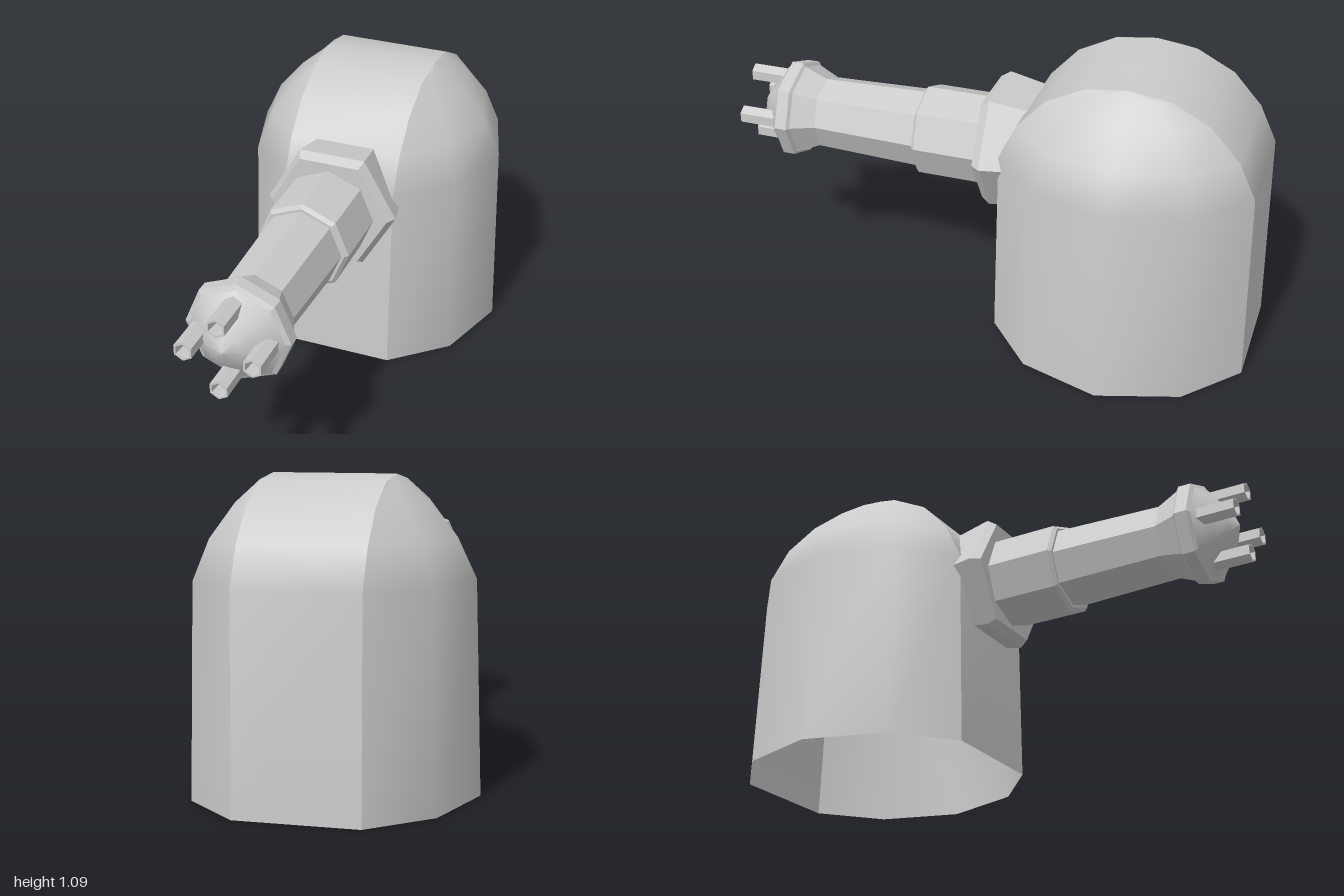
import * as THREE from 'three';

const smooth = new THREE.MeshStandardMaterial({ color: 0xcccccc, side: THREE.DoubleSide });
const flat = new THREE.MeshStandardMaterial({ color: 0xcccccc, side: THREE.DoubleSide, flatShading: true });

const HOUSING_Z = -0.52; // centre of the housing
const HALF_STRIP = 0.215; // half width of the central strip
const BARREL_Y = 0.685; // height of the gun axis

// Housing levels: [height, half depth of strip, sideways bulge]
const LEVELS = [
  [0, 0.477, 0.295],
  [0.74, 0.46, 0.275],
  [0.877, 0.395, 0.21],
  [0.993, 0.29, 0.11],
  [1.065, 0.15, 0.026],
  [1.085, 0, 0],
];

function mesh(name, geometry, material) {
  const m = new THREE.Mesh(geometry, material);
  m.name = name;
  return m;
}

// Smooth surface through rows of points
function loft(rows) {
  const n = rows[0].length;
  const index = [];
  for (let i = 0; i < rows.length - 1; i++) {
    for (let j = 0; j < n - 1; j++) {
      const a = i * n + j, b = a + 1, c = b + n, d = a + n;
      index.push(a, b, c, a, c, d);
    }
  }
  const g = new THREE.BufferGeometry();
  g.setAttribute('position', new THREE.Float32BufferAttribute(rows.flat(2), 3));
  g.setIndex(index);
  g.computeVertexNormals();
  return g;
}

// Faceted body of revolution along z; profile is [radius, z]
function turned(name, profile, sides, start = 0, material = flat) {
  const pts = profile.map(([r, z]) => new THREE.Vector2(r, z));
  const g = new THREE.LatheGeometry(pts, sides, start);
  g.rotateX(Math.PI / 2);
  return mesh(name, g, material);
}

function createHousing() {
  const housing = new THREE.Group();
  housing.name = 'housing';
  housing.position.z = HOUSING_Z;

  // Central strip: up the front, over the top, down the back
  const front = LEVELS.map(([y, r]) => [y, r]);
  const back = front.slice(0, -1).reverse().map(([y, r]) => [y, -r]);
  const strip = [...front, ...back].map(([y, z]) => [[-HALF_STRIP, y, z], [HALF_STRIP, y, z]]);
  housing.add(mesh('centralStrip', loft(strip), smooth));

  // Faceted half-round flanks with rounded shoulders
  const flank = LEVELS.map(([y, r, b]) =>
    [[0, 1], [0.69, 0.62], [1, 0], [0.69, -0.62], [0, -1]].map(([u, v]) => [HALF_STRIP + u * b, y, v * r]));
  const left = mesh('leftFlank', loft(flank), smooth);
  const right = mesh('rightFlank', left.geometry, smooth);
  right.rotation.y = Math.PI;
  housing.add(left, right);
  return housing;
}

function createGun() {
  const gun = new THREE.Group();
  gun.name = 'gun';
  gun.position.y = BARREL_Y;

  // Hexagonal mount on the housing
  const collar = turned('collar', [[0.223, -0.14], [0.25, 0], [0.25, 0.005], [0.228, 0.038], [0, 0.038]], 6, Math.PI / 2);
  collar.position.y = 0.007;
  gun.add(collar);

  // Octagonal sleeve, barrel and flared head
  gun.add(turned('sleeve', [[0.175, 0], [0.175, 0.285], [0.162, 0.298], [0.14, 0.298]], 8));
  gun.add(turned('barrel', [[0.152, 0.28], [0.139, 0.7], [0.178, 0.79]], 8));
  gun.add(turned('head', [[0.178, 0.785], [0.19, 0.795], [0.19, 0.84], [0.172, 0.85]], 8));
  gun.add(turned('nose', [[0.172, 0.85], [0.12, 0.895], [0.06, 0.938], [0, 0.963]], 8, 0, smooth));

  // Four hollow hexagonal muzzles
  for (let i = 0; i < 4; i++) {
    const angle = (i * Math.PI) / 2;
    const muzzle = turned('muzzle', [[0.036, 0.86], [0.036, 1], [0.028, 1], [0.02, 0.95], [0, 0.95]], 6);
    muzzle.position.set(0.122 * Math.cos(angle), 0.122 * Math.sin(angle), 0);
    gun.add(muzzle);
  }
  return gun;
}

export function createModel() {
  const model = new THREE.Group();
  model.name = 'turret';
  model.add(createHousing(), createGun());
  return model;
}
